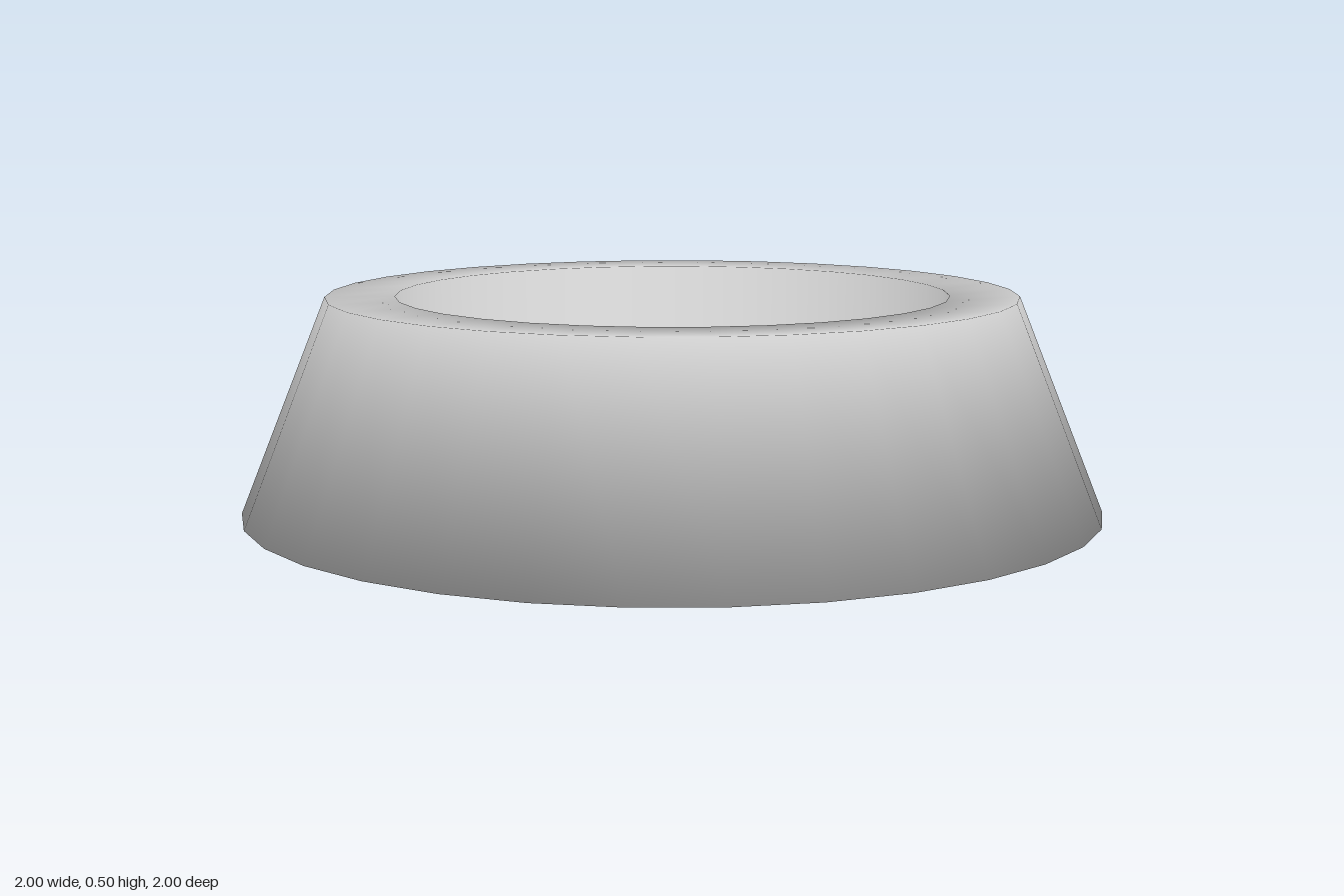
import * as THREE from 'three';

const SIDES = 32;

// Turns a profile into a closed solid: the first and last rings are capped with
// flat discs, and all edges are shaded softly by blending neighbouring normals.
function softTurned(points) {
  const profile = points.map(([r, y]) => new THREE.Vector2(r, y));
  const count = profile.length;
  const geometry = new THREE.LatheGeometry(profile, SIDES);

  // Flat caps across the bottom and top rings
  const index = Array.from(geometry.index.array);
  for (let i = 1; i < SIDES - 1; i++) {
    const a = i * count, b = (i + 1) * count, last = count - 1;
    index.push(0, b, a, last, a + last, b + last);
  }
  geometry.setIndex(index);

  // Outward normal of each profile segment, with the caps at either end
  const faces = [new THREE.Vector2(0, -1)];
  for (let j = 1; j < count; j++) {
    const d = profile[j].clone().sub(profile[j - 1]).normalize();
    faces.push(new THREE.Vector2(d.y, -d.x));
  }
  faces.push(new THREE.Vector2(0, 1));

  const normal = geometry.attributes.normal;
  for (let j = 0; j < count; j++) {
    const n = faces[j].clone().add(faces[j + 1]).normalize();
    for (let i = 0; i <= SIDES; i++) {
      const a = (i / SIDES) * Math.PI * 2;
      normal.setXYZ(i * count + j, n.x * Math.sin(a), n.y, n.x * Math.cos(a));
    }
  }
  return geometry;
}

export function createModel() {
  const group = new THREE.Group();
  group.name = 'bowl';

  // Base edge, outer rim, inner rim, edge of the sunken floor
  const geometry = softTurned([[1, 0], [0.8, 0.5], [0.64, 0.5], [0.64, 0.24]]);
  const bowl = new THREE.Mesh(geometry, new THREE.MeshStandardMaterial({ color: 0xcccccc }));
  bowl.name = 'bowlBody';
  group.add(bowl);
  return group;
}
